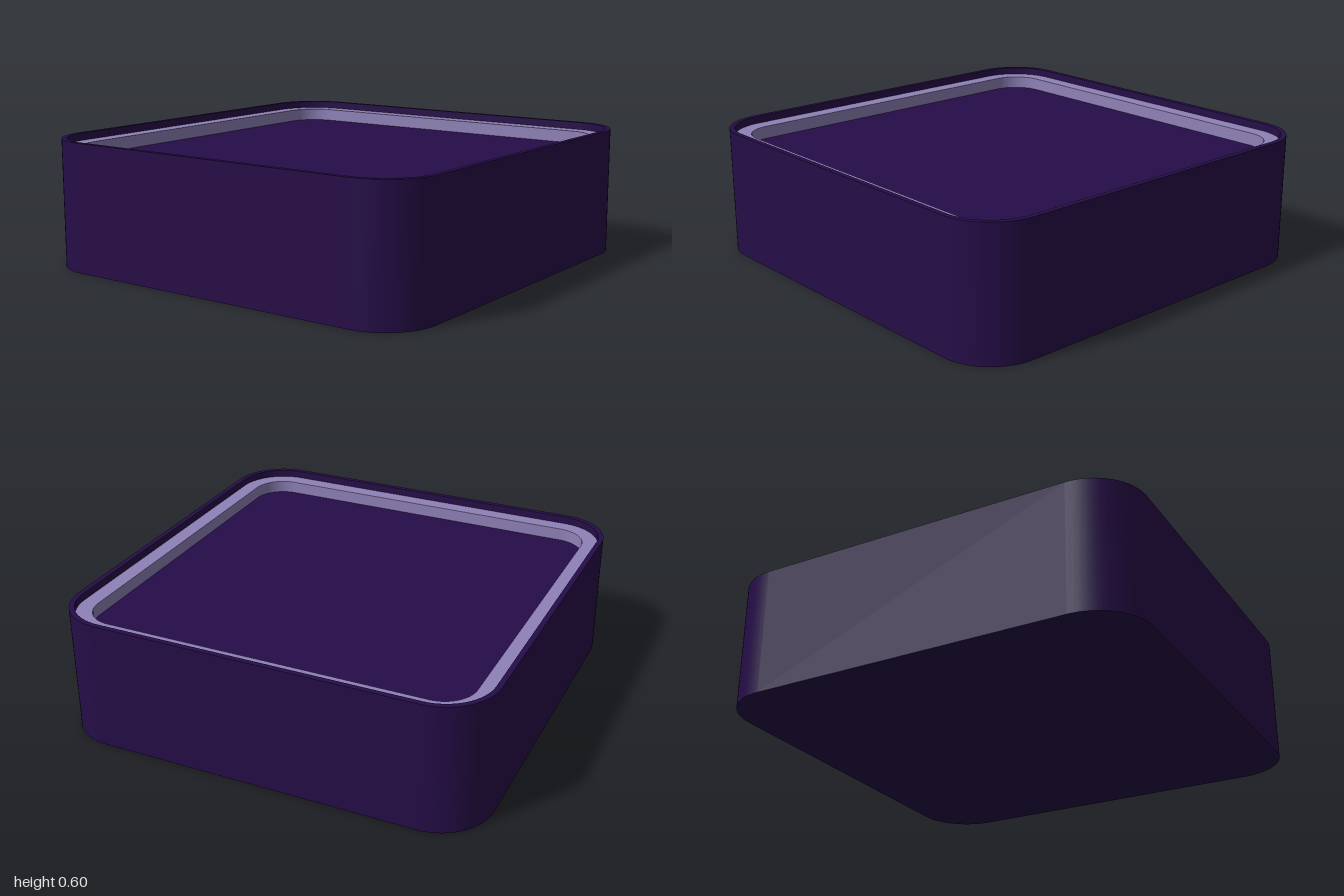
import * as THREE from 'three';
import { mergeGeometries } from 'three/addons/utils/BufferGeometryUtils.js';

const CORNER = 0.75; // centre of every concentric corner arc
const STEPS = 16;    // segments per corner

// Surface between two rounded-square loops; a loop is [corner radius, height, corner centre].
function band([r0, y0, c0 = CORNER], [r1, y1, c1 = CORNER]) {
  const pos = [], nor = [], index = [];
  const dr = r1 + c1 - r0 - c0, dy = y1 - y0, len = Math.hypot(dr, dy);
  for (let k = 0; k < 4; k++) {
    const sx = k === 0 || k === 3 ? 1 : -1;
    const sz = k < 2 ? 1 : -1;
    for (let j = 0; j <= STEPS; j++) {
      const a = (k + j / STEPS) * Math.PI / 2;
      const cos = Math.cos(a), sin = Math.sin(a);
      for (const [r, y, c] of [[r0, y0, c0], [r1, y1, c1]]) {
        pos.push(sx * c + r * cos, y, sz * c + r * sin);
        nor.push(cos * dy / len, -dr / len, sin * dy / len);
      }
    }
  }
  const n = 4 * (STEPS + 1);
  for (let i = 0; i < n; i++) {
    const a = 2 * i, b = 2 * ((i + 1) % n);
    index.push(a, a + 1, b, b, a + 1, b + 1);
  }
  const g = new THREE.BufferGeometry();
  g.setAttribute('position', new THREE.Float32BufferAttribute(pos, 3));
  g.setAttribute('normal', new THREE.Float32BufferAttribute(nor, 3));
  g.setIndex(index);
  return g;
}

// Chain of bands with a sharp edge at every profile point
function part(name, profile, color) {
  const bands = profile.slice(1).map((p, i) => band(profile[i], p));
  const mesh = new THREE.Mesh(mergeGeometries(bands), new THREE.MeshStandardMaterial({ color }));
  mesh.name = name;
  return mesh;
}

export function createModel() {
  const group = new THREE.Group();
  group.name = 'tray';
  const dark = 0x260d48, lavender = 0x8f82b8;
  const top = 0.6, ledge = 0.565, floor = 0.505;

  // Underside, outer wall, thin rim and the short wall inside the rim
  group.add(part('body', [[0, 0, 0], [0.25, 0], [0.25, top], [0.225, top], [0.225, ledge]], dark));
  // Stepped lining: flat ledge and the wall below it
  group.add(part('lining', [[0.225, ledge], [0.15, ledge], [0.15, floor]], lavender));
  // Recessed floor
  group.add(part('floor', [[0.15, floor], [0, floor, 0]], dark));
  return group;
}
